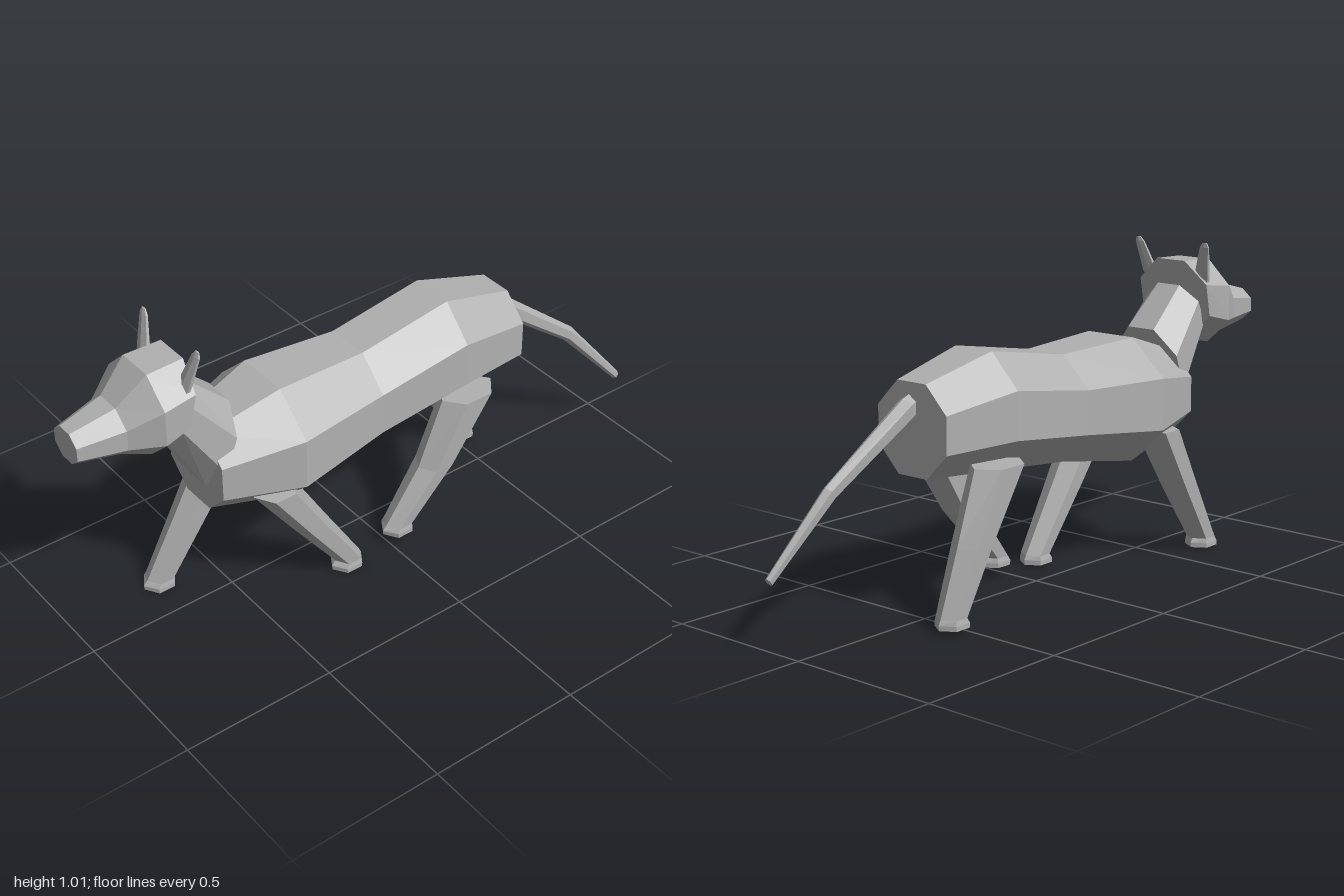
import * as THREE from 'three';

const coat = new THREE.MeshStandardMaterial({ color: 0xb0b0b0, flatShading: true });
coat.name = 'grey coat';

// Capped loft through n-sided rings [x, y, z, halfX, halfY, halfZ]:
// each ring is spanned by (halfX, 0, 0) and (0, halfY, halfZ).
function loft(name, n, rings) {
  const pos = [], idx = [];
  const k = 1 / Math.cos(Math.PI / n);
  for (const [x, y, z, hx, hy, hz] of rings) {
    for (let i = 0; i < n; i++) {
      const a = ((i + 0.5) * 2 * Math.PI) / n;
      const c = Math.cos(a) * k, s = Math.sin(a) * k;
      pos.push(x + c * hx, y + s * hy, z + s * hz);
    }
  }
  for (let r = 0; r < rings.length - 1; r++) {
    for (let i = 0; i < n; i++) {
      const a = r * n + i, b = r * n + ((i + 1) % n);
      idx.push(a, b, b + n, a, b + n, a + n);
    }
  }
  const last = (rings.length - 1) * n;
  for (let i = 1; i < n - 1; i++) {
    idx.push(0, i + 1, i, last, last + i, last + i + 1);
  }
  const indexed = new THREE.BufferGeometry();
  indexed.setAttribute('position', new THREE.Float32BufferAttribute(pos, 3));
  indexed.setIndex(idx);
  const geo = indexed.toNonIndexed();
  geo.computeVertexNormals();
  const mesh = new THREE.Mesh(geo, coat);
  mesh.name = name;
  return mesh;
}

// Leg with a wide top, a middle joint, a slim ankle and a flared foot
function leg(name, x, top, mid, foot) {
  const [ty, tz, tr] = top, [my, mz, mr] = mid, [fy, fz] = foot;
  return loft(name, 6, [
    [x, ty, tz, 0.062, 0, tr],
    [x, my, mz, 0.053, 0, mr],
    [x, fy + 0.03, fz, 0.041, 0, 0.04],
    [x, fy + 0.015, fz + 0.003, 0.044, 0, 0.049],
    [x, fy, fz + 0.003, 0.044, 0, 0.048],
  ]);
}

export function createModel() {
  const model = new THREE.Group();
  model.name = 'animal';

  // Trunk, from rump to chest
  model.add(loft('body', 8, [
    [0.022, 0.57, -0.52, 0.137, 0.14, 0],
    [0.01, 0.595, -0.27, 0.175, 0.18, 0],
    [0.006, 0.553, 0.05, 0.173, 0.168, 0],
    [0, 0.535, 0.36, 0.215, 0.2, 0],
    [-0.006, 0.523, 0.6, 0.138, 0.137, 0],
  ]));

  // Neck, leaning forward into the head
  model.add(loft('neck', 8, [
    [-0.008, 0.598, 0.553, 0.125, 0.138, -0.047],
    [-0.012, 0.78, 0.685, 0.105, 0.085, -0.04],
  ]));

  // Head, from nape to muzzle
  model.add(loft('head', 8, [
    [-0.015, 0.82, 0.675, 0.135, 0.125, -0.025],
    [-0.02, 0.803, 0.77, 0.145, 0.138, 0],
    [-0.027, 0.77, 0.86, 0.093, 0.08, 0],
    [-0.033, 0.762, 1, 0.06, 0.052, 0],
  ]));

  // Thin upright ears, mirrored about the head's middle
  for (const s of [-1, 1]) {
    model.add(loft(s < 0 ? 'rightEar' : 'leftEar', 6, [
      [-0.017 + s * 0.134, 1.01, 0.65, 0.008, 0, 0.003],
      [-0.017 + s * 0.131, 0.995, 0.653, 0.016, 0, 0.006],
      [-0.017 + s * 0.106, 0.9, 0.677, 0.026, 0, 0.01],
      [-0.017 + s * 0.098, 0.86, 0.688, 0.024, 0, 0.01],
    ]));
  }

  // Legs in mid stride
  model.add(leg('leftFrontLeg', 0.143, [0.435, 0.43, 0.062], [0.24, 0.302, 0.052], [0, 0.16]));
  model.add(leg('rightFrontLeg', -0.137, [0.435, 0.43, 0.062], [0.24, 0.545, 0.052], [0, 0.675]));
  model.add(leg('leftHindLeg', 0.143, [0.46, -0.31, 0.085], [0.24, -0.185, 0.055], [0.037, -0.042]));
  model.add(leg('rightHindLeg', -0.137, [0.46, -0.33, 0.085], [0.24, -0.44, 0.055], [0.012, -0.53]));

  // Tail, from tip to root
  model.add(loft('tail', 6, [
    [0.122, 0.2, -0.992, 0.011, 0.01, -0.007],
    [0.075, 0.425, -0.8, 0.019, 0.018, -0.012],
    [0.035, 0.633, -0.525, 0.03, 0.025, -0.015],
    [0.03, 0.66, -0.47, 0.03, 0.025, -0.015],
  ]));

  return model;
}
